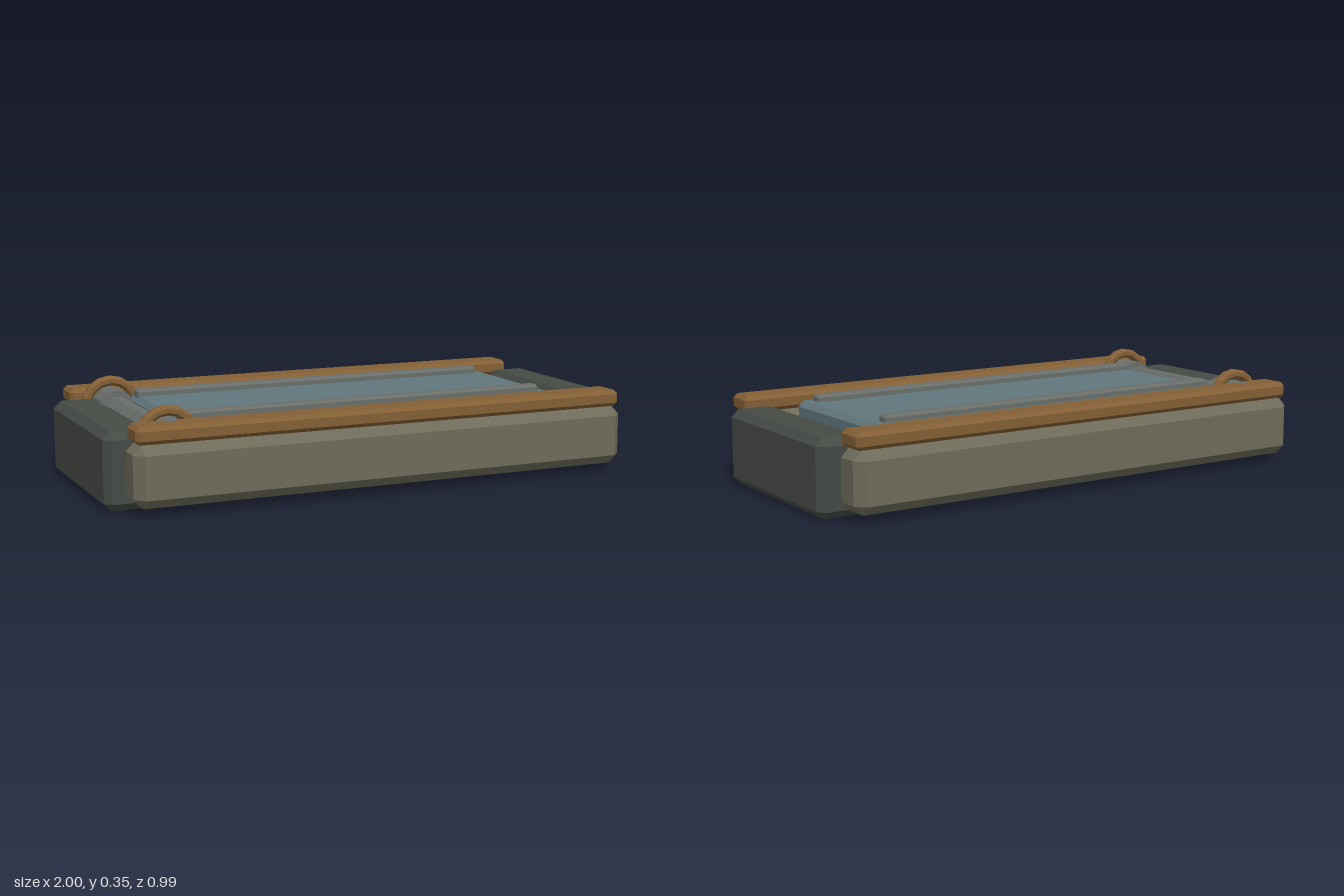
import * as THREE from 'three';
import { ConvexGeometry } from 'three/addons/geometries/ConvexGeometry.js';

const paint = (color) => new THREE.MeshStandardMaterial({ color, flatShading: true });

// Box with every edge cut at 45 degrees and a small triangle on each corner.
function chamferBox(w, h, d, c) {
  const points = [];
  for (const sx of [-1, 1]) for (const sy of [-1, 1]) for (const sz of [-1, 1]) {
    const x = w / 2, y = h / 2, z = d / 2;
    points.push(
      new THREE.Vector3(sx * x, sy * (y - c), sz * (z - c)),
      new THREE.Vector3(sx * (x - c), sy * y, sz * (z - c)),
      new THREE.Vector3(sx * (x - c), sy * (y - c), sz * z));
  }
  return new ConvexGeometry(points);
}

// Ring around the z axis with a chamfered rectangular section.
function chamferRing(inner, outer, width, c, sides) {
  const h = width / 2;
  const profile = [
    [inner, -h + c], [inner + c, -h], [outer - c, -h], [outer, -h + c],
    [outer, h - c], [outer - c, h], [inner + c, h], [inner, h - c], [inner, -h + c],
  ].map(([r, y]) => new THREE.Vector2(r, y));
  return new THREE.LatheGeometry(profile, sides).rotateX(Math.PI / 2);
}

export function createModel() {
  const group = new THREE.Group();
  const stone = paint(0x6e6b5a), slate = paint(0x454a45), wood = paint(0x835f35);
  const blue = paint(0x60777c), steel = paint(0x6a6e6b);

  const add = (name, geometry, material, x, y, z) => {
    const mesh = new THREE.Mesh(geometry, material);
    mesh.name = name;
    mesh.position.set(x, y, z);
    group.add(mesh);
  };

  // Heavy blocks closing both ends
  const endBlock = chamferBox(0.172, 0.272, 0.7, 0.027);
  for (const s of [-1, 1]) add('endBlock', endBlock, slate, s * 0.914, 0.136, 0);

  // Long side beams with timber rails on top
  const sideBeam = chamferBox(1.875, 0.217, 0.147, 0.034);
  const topRail = chamferBox(1.855, 0.06, 0.12, 0.014);
  for (const s of [-1, 1]) {
    add('sideBeam', sideBeam, stone, 0, 0.139, s * 0.422);
    add('topRail', topRail, wood, 0, 0.275, s * 0.418);
  }

  // Thick sliding panel, its raised strips and the slats beneath
  add('panel', chamferBox(1.475, 0.1, 0.616, 0.02), blue, 0.015, 0.235, 0);
  const strip = chamferBox(1.418, 0.036, 0.052, 0.009);
  for (const s of [-1, 1]) add('panelStrip', strip, steel, -0.002, 0.292, s * 0.244);
  const slat = chamferBox(0.065, 0.06, 0.56, 0.012);
  for (const x of [-0.44, 0, 0.44]) add('slat', slat, wood, x, 0.157, 0);

  // Roller across one end, with wide hubs and timber rings
  const rollerX = -0.78, rollerY = 0.238;
  const lie = (geometry) => geometry.rotateX(Math.PI / 2);
  const roller = new THREE.CylinderGeometry(0.05, 0.05, 0.6, 8).rotateY(Math.PI / 8);
  add('roller', lie(roller), steel, rollerX, rollerY, 0);
  const hub = lie(new THREE.CylinderGeometry(0.071, 0.071, 0.165, 12));
  const ring = chamferRing(0.078, 0.113, 0.038, 0.01, 16);
  for (const s of [-1, 1]) {
    add('rollerHub', hub, steel, rollerX, rollerY, s * 0.335);
    add('rollerRing', ring, wood, rollerX, rollerY, s * 0.341);
  }
  return group;
}
